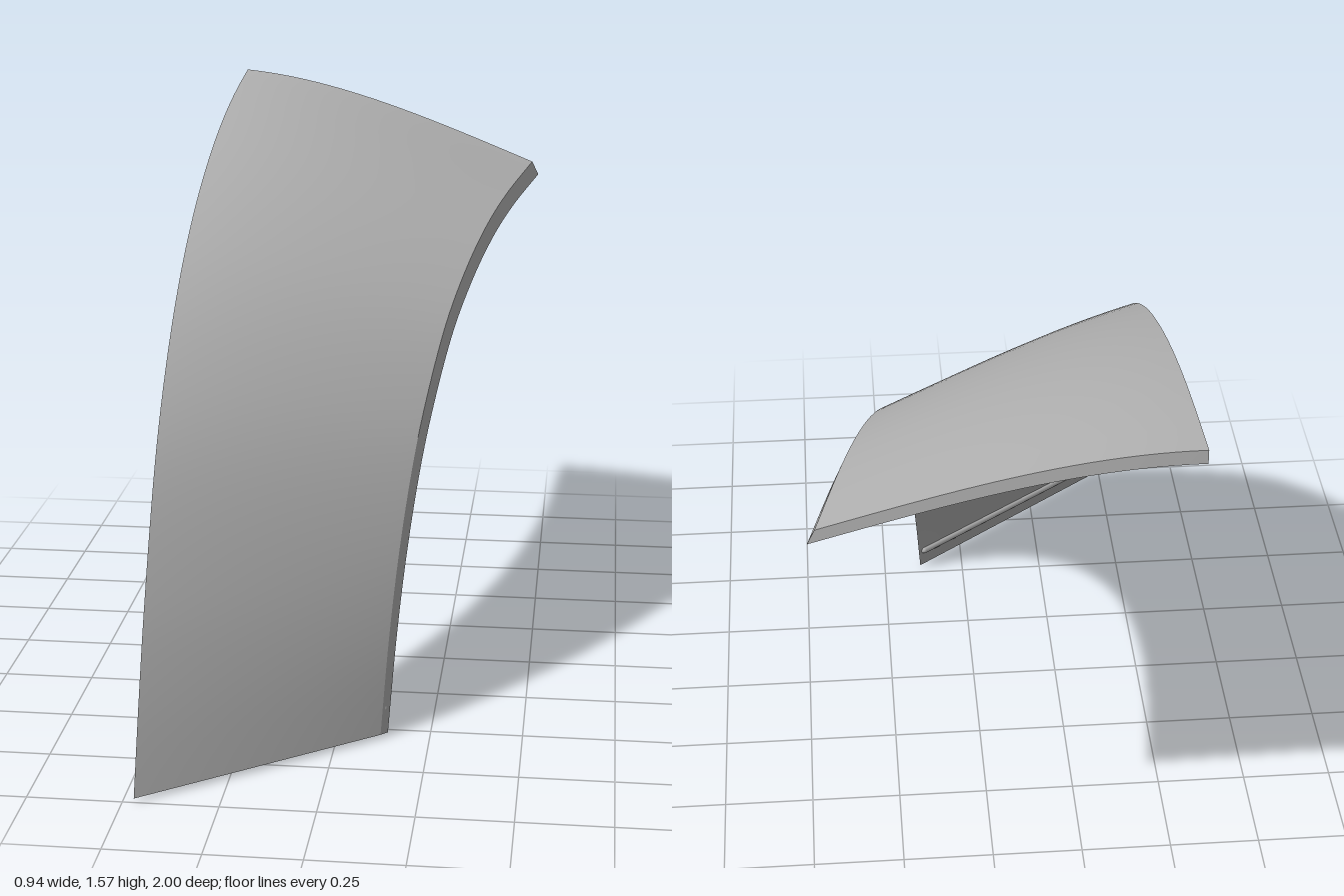
import * as THREE from 'three';

const THICK = 0.036;
const V = (x, y, z) => new THREE.Vector3(x, y, z);

// Side rails as [z, y]; both lie in vertical planes
const leftRail = new THREE.CatmullRomCurve3([
  [1, 0.012], [0.9, 0.255], [0.8, 0.47], [0.6, 0.815], [0.4, 1.04], [0.2, 1.2], [0, 1.315],
  [-0.2, 1.4], [-0.4, 1.465], [-0.6, 1.513], [-0.8, 1.547], [-1, 1.572],
].map(([z, y]) => V(-0.47, y, z)));
const rightRail = new THREE.CatmullRomCurve3([
  [0.55, 0.012], [0.48, 0.27], [0.4, 0.48], [0.3, 0.67], [0.2, 0.81], [0, 1.01],
  [-0.2, 1.13], [-0.4, 1.21], [-0.6, 1.26], [-0.9, 1.305],
].map(([z, y]) => V(0.13 + 0.335 * (0.55 - z) / 1.45, y, z)));
leftRail.arcLengthDivisions = rightRail.arcLengthDivisions = 800;

// Surface lofted between the rails, crowned towards the top end
function surface(u, v) {
  const p = leftRail.getPointAt(v).lerp(rightRail.getPointAt(v), u);
  const crown = 0.2 * u * (1 - u) * (1 - 0.55 * u) * v;
  p.y += crown;
  return p;
}

// Outer skin stops short of the right side to leave a bevelled edge
const outer = (u, v) => surface(u * 0.98, v);

// Inner skin: offset along the normal, kept within the two side planes
function inner(u, v) {
  const e = 0.004;
  const clamp = THREE.MathUtils.clamp;
  const du = surface(clamp(u + e, 0, 1), v).sub(surface(clamp(u - e, 0, 1), v));
  const dv = surface(u, clamp(v + e, 0, 1)).sub(surface(u, clamp(v - e, 0, 1)));
  const n = du.cross(dv).normalize();
  const side = V(1, 0, 0.231 * u).normalize();
  n.addScaledVector(side, -n.dot(side));
  const p = surface(u, v).addScaledVector(n, -THICK);
  p.y = Math.max(0, p.y);
  return p;
}

// Grid of points f(a, b), facing the direction da x db
function sheet(f, na, nb) {
  const pos = [], index = [];
  for (let j = 0; j <= nb; j++) {
    for (let i = 0; i <= na; i++) {
      pos.push(...f(i / na, j / nb).toArray());
      if (i < na && j < nb) {
        const k = j * (na + 1) + i, m = k + na + 1;
        index.push(k, k + 1, m + 1, k, m + 1, m);
      }
    }
  }
  const g = new THREE.BufferGeometry();
  g.setAttribute('position', new THREE.Float32BufferAttribute(pos, 3));
  g.setIndex(index);
  g.computeVertexNormals();
  return g;
}

export function createModel() {
  const model = new THREE.Group();
  model.name = 'curvedPanel';
  const grey = new THREE.MeshStandardMaterial({ color: 0xb2b2b2 });
  grey.name = 'panel grey';

  const add = (name, geometry, parent = model) => {
    const mesh = new THREE.Mesh(geometry, grey);
    mesh.name = name;
    parent.add(mesh);
    return mesh;
  };

  // Skins
  const NU = 24, NV = 48;
  add('outerSkin', sheet(outer, NU, NV));
  add('innerSkin', sheet((a, b) => inner(1 - a, b), NU, NV));

  // Edges closing the shell
  const mix = (u, v, t) => outer(u, v).lerp(inner(u, v), t);
  add('leftEdge', sheet((a, b) => mix(0, b, 1 - a), 1, NV));
  add('rightEdge', sheet((a, b) => mix(1, b, a), 1, NV));
  add('bottomEdge', sheet((a, b) => mix(a, 0, 1 - b), NU, 1));
  add('topEdge', sheet((a, b) => mix(a, 1, b), NU, 1));

  // Round-ended ribs that follow the inner skin
  function rib(name, points, radius) {
    const group = new THREE.Group();
    group.name = name;
    const path = new THREE.CatmullRomCurve3(points);
    add(name + 'Bar', new THREE.TubeGeometry(path, 24, radius, 10), group);
    for (const end of [points[0], points[points.length - 1]]) {
      add(name + 'End', new THREE.SphereGeometry(radius, 12, 8), group).position.copy(end);
    }
    model.add(group);
  }

  // Point on the inner skin at a given u where a coordinate falls to a target
  function findOn(u, test) {
    let lo = 0, hi = 1;
    for (let i = 0; i < 24; i++) {
      const mid = (lo + hi) / 2;
      if (test(inner(u, mid))) lo = mid; else hi = mid;
    }
    return inner(u, lo);
  }
  const steps = [0, 1, 2, 3, 4, 5, 6];
  rib('lowerRib', steps.map(i => findOn(0.03 + 0.94 * i / 6, p => p.y < 0.075)), 0.012);
  rib('upperRib', steps.map(i => findOn(0.44 + 0.52 * i / 6, p => p.z > -0.67)), 0.014);

  return model;
}
